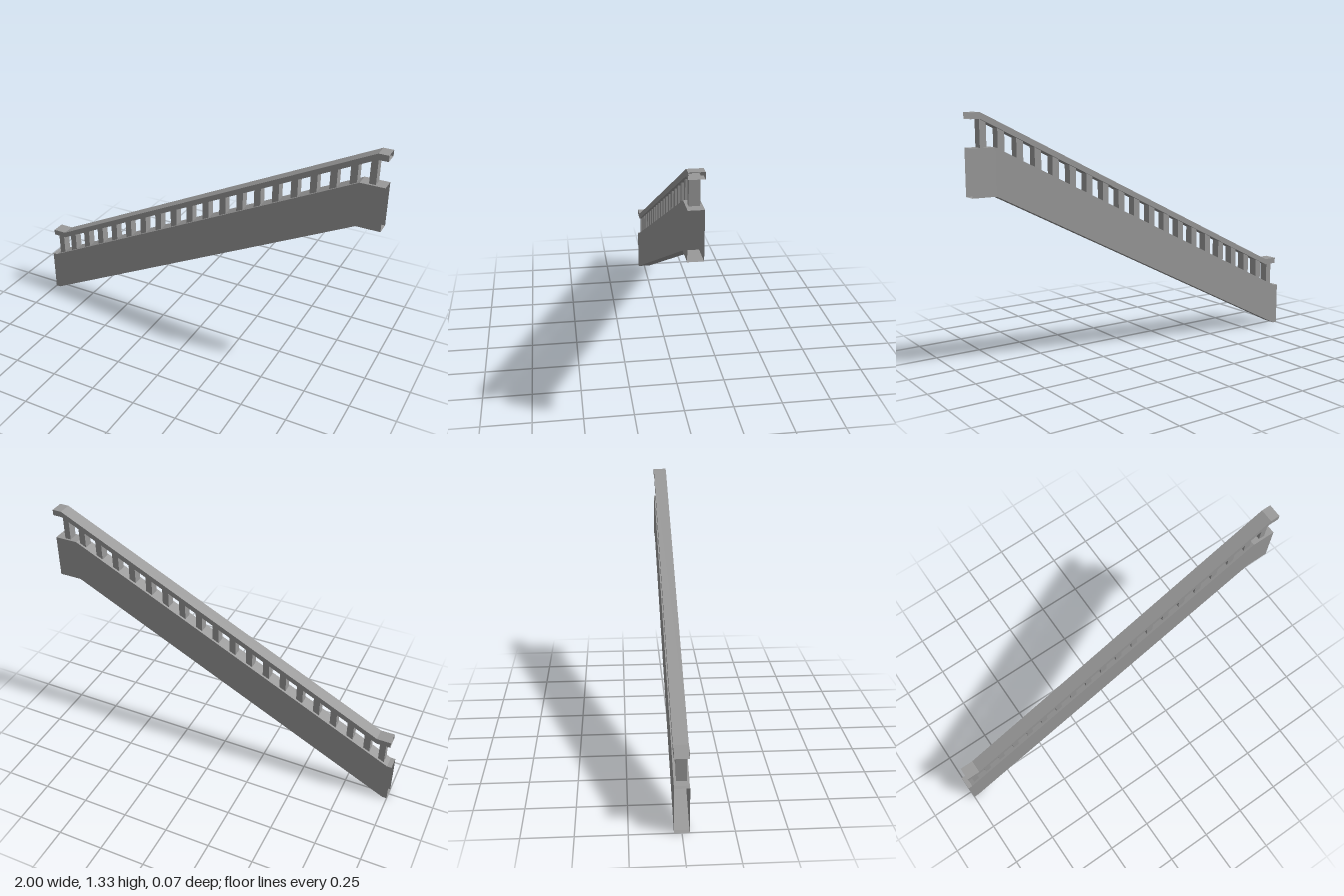
import * as THREE from 'three';

const HALF_DEPTH = 0.037;

const material = new THREE.MeshStandardMaterial({
  color: 0x999999, flatShading: true, side: THREE.DoubleSide,
});

// Hollow rectangular casing, open at both ends; stations are [x, bottomY], left to right
function casing(name, stations, height) {
  const positions = [];
  const index = [];
  for (const [x, y] of stations) {
    positions.push(
      x, y, HALF_DEPTH,
      x, y + height, HALF_DEPTH,
      x, y + height, -HALF_DEPTH,
      x, y, -HALF_DEPTH,
    );
  }
  for (let s = 0; s < stations.length - 1; s++) {
    for (let k = 0; k < 4; k++) {
      const a = s * 4 + k;
      const b = s * 4 + (k + 1) % 4;
      index.push(a, a + 4, b + 4, a, b + 4, b);
    }
  }
  const indexed = new THREE.BufferGeometry();
  indexed.setAttribute('position', new THREE.Float32BufferAttribute(positions, 3));
  indexed.setIndex(index);
  const geometry = indexed.toNonIndexed();
  geometry.computeVertexNormals();
  const mesh = new THREE.Mesh(geometry, material);
  mesh.name = name;
  return mesh;
}

// Height of a station path at x
function heightAt(stations, x) {
  for (let i = 1; i < stations.length; i++) {
    const [x0, y0] = stations[i - 1];
    const [x1, y1] = stations[i];
    if (x <= x1) return y0 + (y1 - y0) * (x - x0) / (x1 - x0);
  }
  return stations[stations.length - 1][1];
}

export function createModel() {
  const model = new THREE.Group();
  model.name = 'stairRailing';

  // Deep sloping side panel with a level landing at the top
  const panelHeight = 0.237;
  const panel = [[-1, 0], [-0.975, 0], [0.873, 0.927], [1, 0.927]];
  model.add(casing('sidePanel', panel, panelHeight));

  // Thin handrail with level ends
  const rail = [[-0.976, 0.377], [-0.9, 0.377], [0.948, 1.3], [1, 1.3]];
  model.add(casing('handrail', rail, 0.032));

  // Square balusters: each is sunk by a given depth into the hollow panel
  const balusters = new THREE.Group();
  balusters.name = 'balusters';
  function addBaluster(name, x, width, sunk) {
    const right = x + width / 2;
    const bottom = heightAt(panel, right) + panelHeight - sunk;
    const top = heightAt(rail, right);
    const baluster = new THREE.Mesh(
      new THREE.BoxGeometry(width, top - bottom, 0.05), material);
    baluster.name = name;
    baluster.position.set(x, (top + bottom) / 2, 0);
    balusters.add(baluster);
  }
  addBaluster('lowerEndBaluster', -0.935, 0.034, 0.02);
  for (let i = 0; i < 18; i++) {
    addBaluster('baluster', -0.848 + i * 0.0992, 0.036, 0.028);
  }
  addBaluster('upperEndBaluster', 0.932, 0.034, 0);
  model.add(balusters);

  return model;
}
